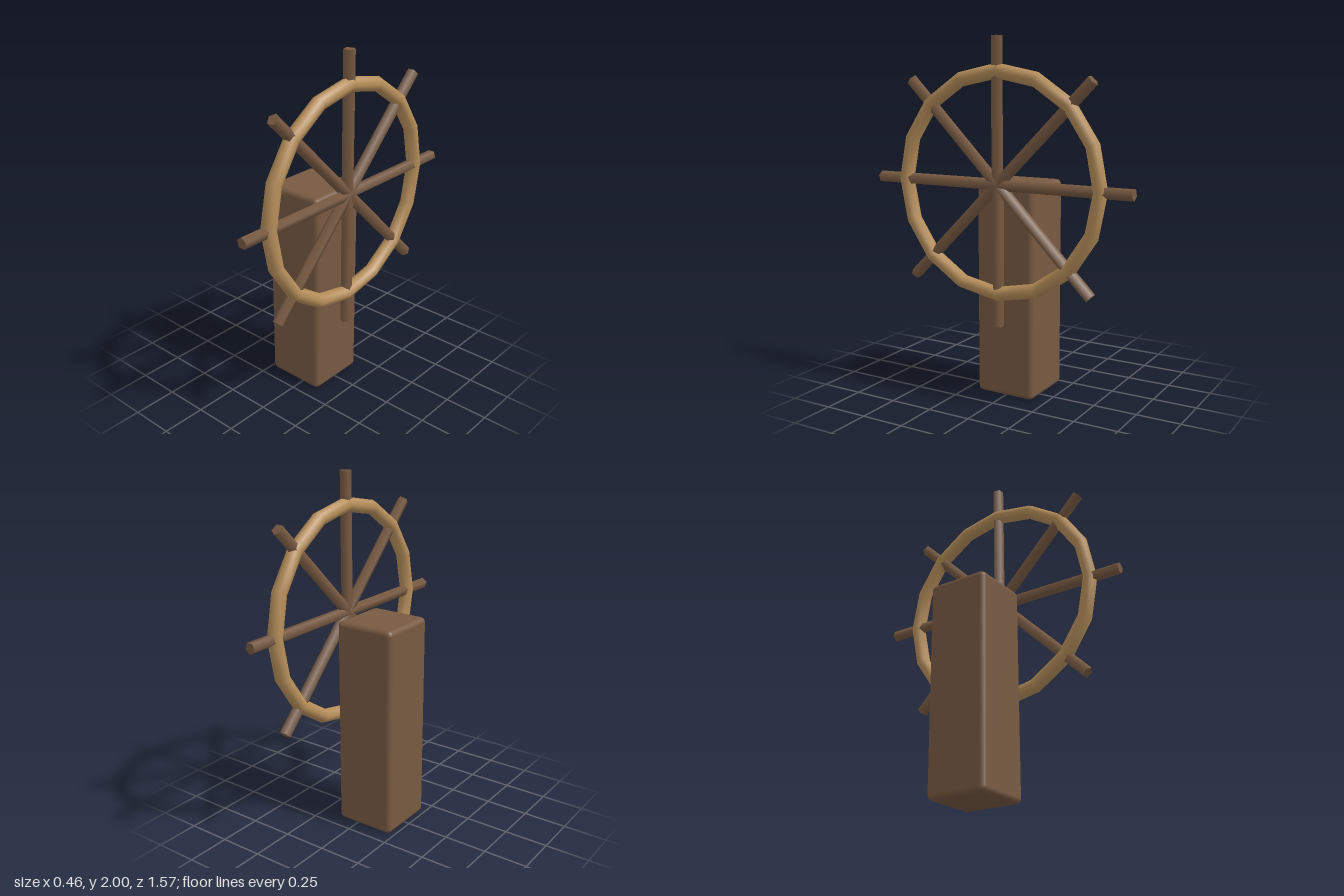
import * as THREE from 'three';
import { RoundedBoxGeometry } from 'three/addons/geometries/RoundedBoxGeometry.js';

export function createModel() {
  const model = new THREE.Group();
  model.name = 'shipWheel';

  const darkWood = new THREE.MeshStandardMaterial({ color: 0x785a42 });
  darkWood.name = 'darkWood';
  const lightWood = new THREE.MeshStandardMaterial({ color: 0xb68e5a });
  lightWood.name = 'lightWood';

  // Upright post with softened edges
  const post = new THREE.Mesh(new RoundedBoxGeometry(0.357, 1.214, 0.357, 2, 0.03), darkWood);
  post.name = 'post';
  post.position.set(-0.053, 0.607, 0);
  model.add(post);

  // Wheel turning in the YZ plane beside the post
  const wheel = new THREE.Group();
  wheel.name = 'wheel';
  wheel.position.set(0.189, 1.214, 0);
  model.add(wheel);

  const rim = new THREE.Mesh(new THREE.TorusGeometry(0.604, 0.041, 8, 16), lightWood);
  rim.name = 'rim';
  rim.rotation.y = Math.PI / 2;
  wheel.add(rim);

  // Eight five-sided spokes that run past the rim as handles
  const length = 0.786;
  const spokeShape = new THREE.CylinderGeometry(0.033, 0.033, length, 5);
  spokeShape.rotateY(Math.PI).translate(0, length / 2, 0);
  for (let i = 0; i < 8; i++) {
    const spoke = new THREE.Mesh(spokeShape, darkWood);
    spoke.name = `spoke${i + 1}`;
    spoke.rotation.x = (i * Math.PI) / 4;
    wheel.add(spoke);
  }

  return model;
}
